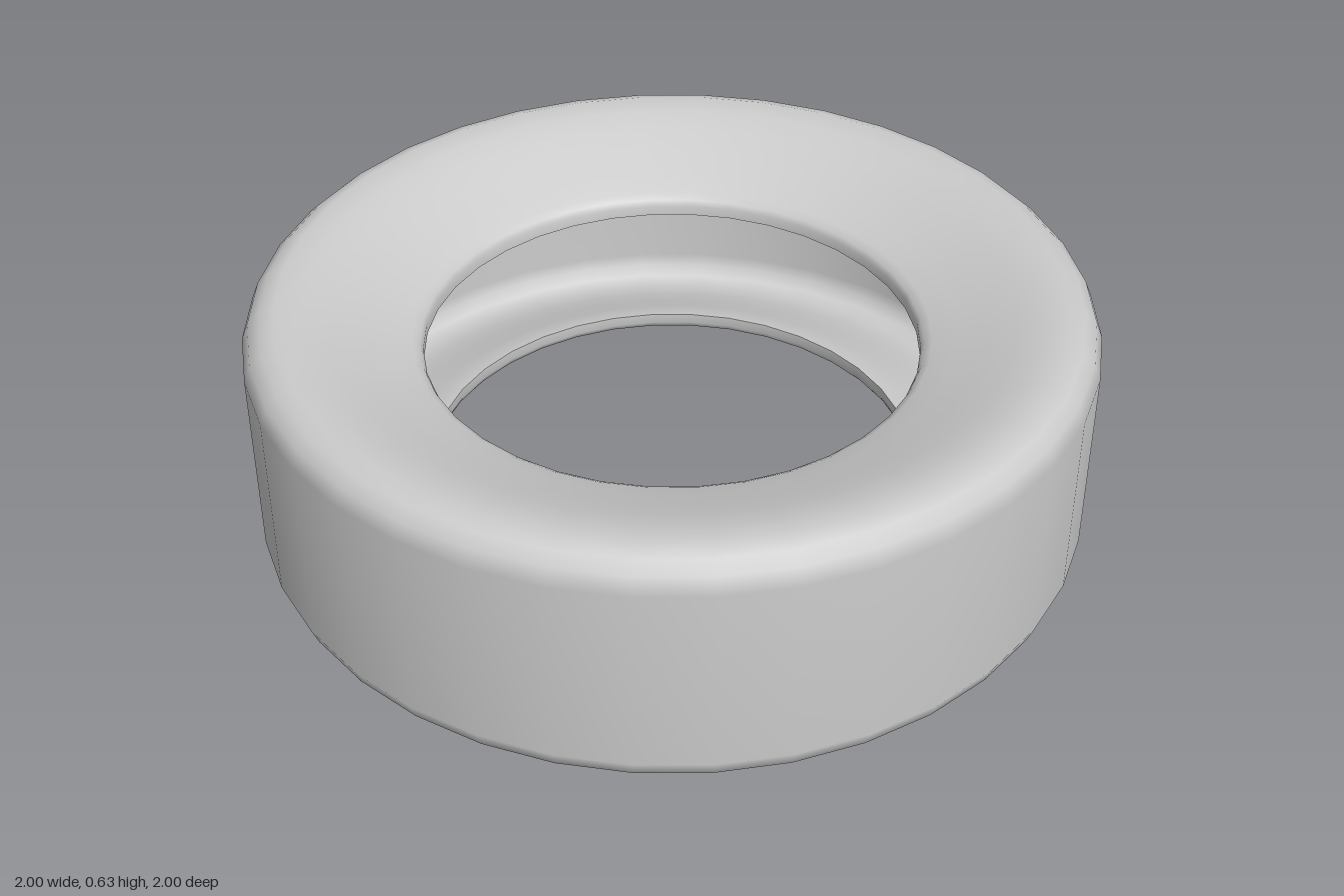
import * as THREE from 'three';

const SEGMENTS = 36;
const MID_HEIGHT = 0.313;

// Upper half profiles as [radius, height above the middle], from middle to lip
const OUTER = [
  [1, 0.235], [0.984, 0.275], [0.957, 0.3], [0.92, 0.313], [0.86, 0.305],
  [0.8, 0.286], [0.73, 0.258], [0.66, 0.228], [0.61, 0.207], [0.592, 0.195],
  [0.585, 0.18], [0.585, 0.155],
];
const LINER = [
  [0.92, 0.18], [0.914, 0.21], [0.895, 0.235], [0.86, 0.245], [0.8, 0.232],
  [0.73, 0.206], [0.66, 0.177], [0.615, 0.16], [0.585, 0.155],
];

// Mirrors a half profile about the middle, running from bottom to top
function fullProfile(half) {
  const top = half.map(([r, h]) => new THREE.Vector2(r, MID_HEIGHT + h));
  const bottom = half.map(([r, h]) => new THREE.Vector2(r, MID_HEIGHT - h)).reverse();
  return [...bottom, ...top];
}

export function createModel() {
  const group = new THREE.Group();
  group.name = 'tyre';
  const material = new THREE.MeshStandardMaterial({ color: 0xcccccc, side: THREE.DoubleSide });

  const add = (name, points) => {
    const mesh = new THREE.Mesh(new THREE.LatheGeometry(points, SEGMENTS), material);
    mesh.name = name;
    group.add(mesh);
  };

  // Tread, rounded shoulders, dished sidewalls and rim lips
  add('treadAndSidewalls', fullProfile(OUTER));
  // Hollow inside, run top to bottom so it faces the centre
  add('innerLiner', fullProfile(LINER).reverse());

  return group;
}
